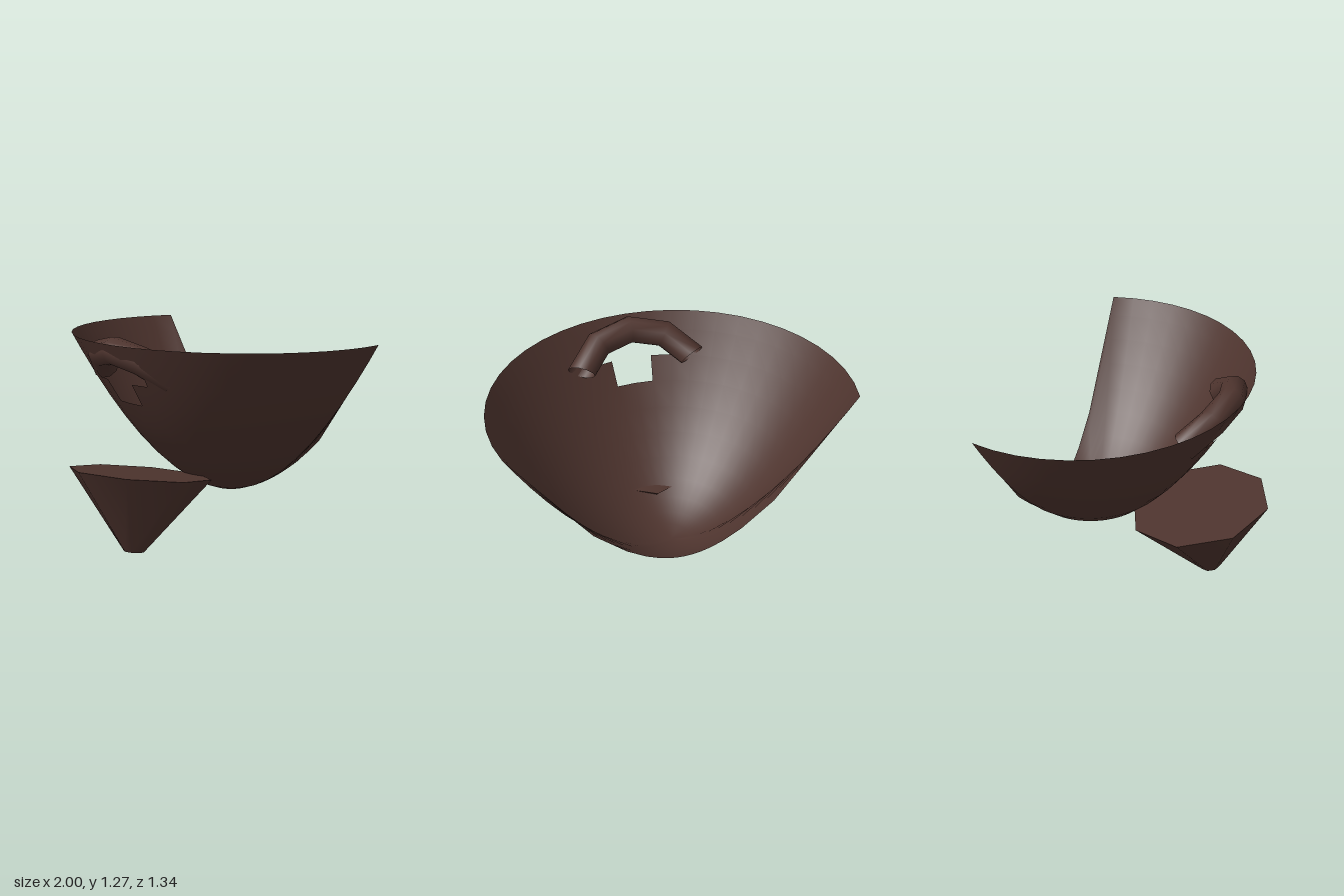
import * as THREE from 'three';

const darkBrown = new THREE.MeshStandardMaterial({ color: 0x4e342e, side: THREE.DoubleSide });
darkBrown.name = 'darkBrown';

// Bowl-shaped shell, cut flat at the back, with a stepped mouth opening
function beardShell() {
  const bottom = 0.275, height = 0.965, power = 1.9, zMid = -0.43, depth = 0.95;
  const cut = 0.24 / depth;                 // distance of the flat back cut
  const a0 = Math.asin(cut);
  const frontCols = 26, backCols = 14, cols = frontCols + backCols;
  const levels = [0.29, 0.32, 0.365, 0.43, 0.52, 0.63, 0.75, 0.88, 1.01, 1.14, 1.24];
  const angles = [];
  for (let i = 0; i < frontCols; i++) angles.push(-a0 + (Math.PI + 2 * a0) * i / frontCols);
  for (let i = 0; i < backCols; i++) angles.push(Math.PI + a0 + (Math.PI - 2 * a0) * i / backCols);

  const positions = [0, bottom, zMid], index = [];
  for (const level of levels) {
    const ring = Math.pow((level - bottom) / height, 1 / power);
    angles.forEach((a, i) => {
      const rho = ring * (i > frontCols ? Math.min(1, cut / -Math.sin(a)) : 1);
      positions.push(
        Math.cos(a) * Math.pow(rho, 1.05),
        bottom + height * Math.pow(rho, power),
        zMid + depth * Math.sin(a) * rho
      );
    });
  }

  const id = (row, col) => 1 + row * cols + col % cols;
  const mid = frontCols / 2;
  const isMouth = (row, col) => {
    const half = levels[row] === 0.88 ? 1 : levels[row] === 1.01 ? 2 : 0;
    return col >= mid - half && col < mid + half;
  };
  for (let c = 0; c < cols; c++) {
    index.push(0, id(0, c), id(0, c + 1));
    for (let r = 0; r < levels.length - 1; r++) {
      if (isMouth(r, c)) continue;
      const a = id(r, c), b = id(r, c + 1), d = id(r + 1, c), e = id(r + 1, c + 1);
      index.push(a, d, b, b, d, e);
    }
  }
  const geometry = new THREE.BufferGeometry();
  geometry.setAttribute('position', new THREE.Float32BufferAttribute(positions, 3));
  geometry.setIndex(index);
  geometry.computeVertexNormals();
  return geometry;
}

export function createModel() {
  const group = new THREE.Group();
  group.name = 'beard';
  const add = (name, geometry) => {
    const mesh = new THREE.Mesh(geometry, darkBrown);
    mesh.name = name;
    group.add(mesh);
    return mesh;
  };

  add('beardShell', beardShell());

  // Moustache: a coarse torus arc leaning forward over the mouth
  const arc = 2.27;
  const bow = new THREE.TorusGeometry(0.37, 0.08, 10, 4, arc);
  bow.rotateZ((Math.PI - arc) / 2);
  const moustache = add('moustache', bow);
  moustache.rotation.x = 0.85;
  moustache.position.set(0, 0.946, 0.142);

  // Chin tuft: an eight-sided tapered cone, slightly tilted
  const tuft = add('chinTuft', new THREE.CylinderGeometry(0.42, 0.06, 0.46, 8));
  tuft.rotation.set(-0.15, 0, 0.066);
  tuft.position.set(0.015, 0.236, 0.285);

  return group;
}
